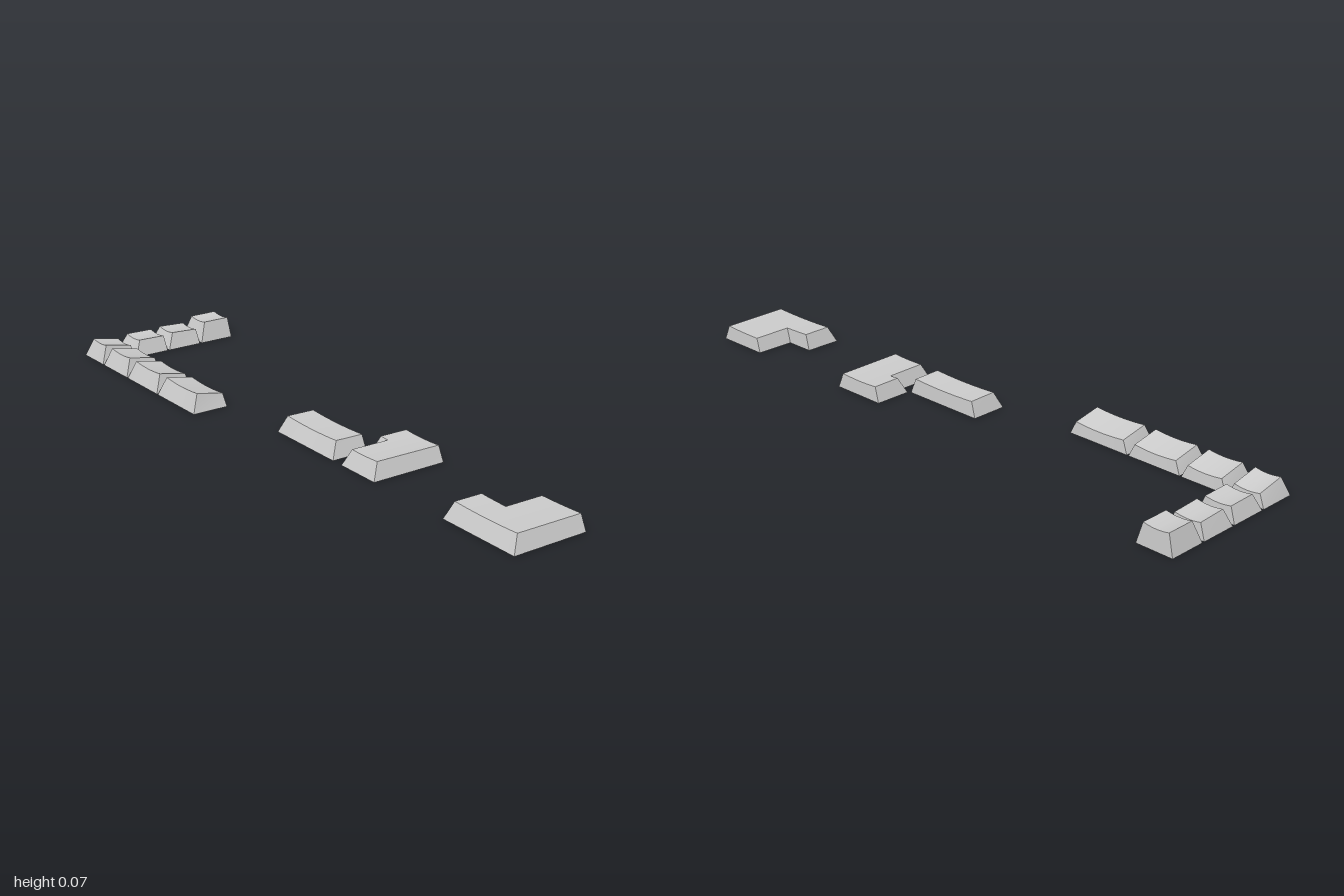
import * as THREE from 'three';
import { toCreasedNormals } from 'three/addons/utils/BufferGeometryUtils.js';

const UNIT = 0.1263, GAP = 0.006, DEPTH = 0.1205, WALL = 0.01;
const SIDE = 0.018, FRONT = 0.024, BACK = 0.004; // slopes of the cap walls
const STAB = 0.079; // spacing of the stabiliser stems

// Corner loop [x, z] moved inwards, long edges split so that they can follow the dish
function insetLoop(corners, side, front, back) {
  const n = corners.length;
  const moved = corners.map(([x, z], i) => {
    for (const [a, b] of [[corners[(i + n - 1) % n], corners[i]], [corners[i], corners[(i + 1) % n]]]) {
      const dx = b[0] - a[0], dz = b[1] - a[1];
      if (Math.abs(dx) > Math.abs(dz)) z += dx > 0 ? -front : back;
      else x += Math.sign(dz) * side;
    }
    return [x, z];
  });
  const loop = [];
  moved.forEach((a, i) => {
    const b = moved[(i + 1) % n];
    const steps = Math.abs(b[0] - a[0]) > 1e-4 ? 10 : 1;
    for (let k = 0; k < steps; k++) {
      const t = k / steps;
      loop.push([a[0] + (b[0] - a[0]) * t, a[1] + (b[1] - a[1]) * t]);
    }
  });
  return loop;
}

// Hollow keycap: tapered walls, dished top, open underside
function capGeometry(corners, hFront, hBack, dish, ceiling) {
  const pos = [];
  const quad = (a, b, c, d) => pos.push(...a, ...b, ...c, ...a, ...c, ...d);
  const top = insetLoop(corners, SIDE, FRONT, BACK);
  const xs = top.map(p => p[0]), zs = top.map(p => p[1]);
  const x0 = Math.min(...xs), x1 = Math.max(...xs), z0 = Math.min(...zs), z1 = Math.max(...zs);
  const topY = (x, z) => {
    const u = (2 * x - x0 - x1) / (x1 - x0);
    return hFront + (hBack - hFront) * (z1 - z) / (z1 - z0) - dish * (1 - u * u);
  };
  const lift = (loop, yAt) => loop.map(([x, z]) => [x, yAt(x, z), z]);
  const roof = insetLoop(corners, SIDE + WALL, FRONT + WALL * 0.6, BACK + WALL);
  const rings = [
    lift(roof, () => ceiling),
    lift(insetLoop(corners, WALL, WALL, WALL), () => 0),
    lift(insetLoop(corners, 0, 0, 0), () => 0),
    lift(top, topY),
  ];
  for (let r = 0; r < 3; r++) {
    const A = rings[r], B = rings[r + 1];
    A.forEach((a, i) => {
      const j = (i + 1) % A.length;
      quad(a, A[j], B[j], B[i]);
    });
  }
  // Fill a loop with strips running front to back
  const fill = (loop, yAt, up) => {
    const cuts = loop.map(p => p[0]).sort((a, b) => a - b).filter((x, i, s) => !i || x - s[i - 1] > 1e-6);
    for (let i = 0; i + 1 < cuts.length; i++) {
      const a = cuts[i], b = cuts[i + 1], m = (a + b) / 2;
      let zf = 0, zb = 0;
      loop.forEach((p, k) => {
        const q = loop[(k + 1) % loop.length];
        if (p[0] < m && q[0] > m) zf = p[1];
        if (p[0] > m && q[0] < m) zb = p[1];
      });
      const c = [[a, zf], [b, zf], [b, zb], [a, zb]].map(([x, z]) => [x, yAt(x, z), z]);
      quad(...(up ? c : c.reverse()));
    }
  };
  fill(top, topY, true);
  fill(roof, () => ceiling, false);
  const geo = new THREE.BufferGeometry();
  geo.setAttribute('position', new THREE.Float32BufferAttribute(pos, 3));
  return toCreasedNormals(geo, 0.4);
}

// Round post with a cross-shaped socket
function stemGeometry(height) {
  const shape = new THREE.Shape().absarc(0, 0, 0.018, 0, Math.PI * 2);
  const L = 0.0133, w = 0.004;
  const cross = [[w, w], [w, L], [-w, L], [-w, w], [-L, w], [-L, -w],
    [-w, -w], [-w, -L], [w, -L], [w, -w], [L, -w], [L, w]];
  shape.holes.push(new THREE.Path(cross.map(p => new THREE.Vector2(...p))));
  const geo = new THREE.ExtrudeGeometry(shape, { depth: height, bevelEnabled: false, curveSegments: 12 });
  return toCreasedNormals(geo.rotateX(-Math.PI / 2), 0.6);
}

export function createModel() {
  const model = new THREE.Group();
  const plastic = new THREE.MeshStandardMaterial({ color: 0xcccccc });
  plastic.name = 'light grey plastic';

  function addKey(name, corners, [hFront, hBack], dish, stems) {
    const key = new THREE.Group();
    key.name = name;
    const ceiling = Math.min(hFront, hBack) - dish - 0.009;
    const cap = new THREE.Mesh(capGeometry(corners, hFront, hBack, dish, ceiling), plastic);
    cap.name = 'cap';
    key.add(cap);
    for (const [x, z] of stems) {
      const stem = new THREE.Mesh(stemGeometry(ceiling - 0.003), plastic);
      stem.name = 'stem';
      stem.position.set(x, 0.004, z);
      key.add(stem);
    }
    model.add(key);
  }
  const rect = (x0, x1, z0, z1) => [[x0, z1], [x1, z1], [x1, z0], [x0, z0]];
  const width = units => units * UNIT - GAP;

  const rowZ = [-0.252, -0.1235, 0.004, 0.1315];
  const rowHeight = [[0.066, 0.066], [0.053, 0.048], [0.051, 0.049], [0.058, 0.04]];
  const home = rowZ[2] + DEPTH / 2;

  // Column of single keys, back to front
  for (let r = 0; r < 3; r++) {
    addKey('singleKey' + (r + 1), rect(-1, -1 + DEPTH, rowZ[r], rowZ[r] + DEPTH), rowHeight[r], 0.005,
      [[-1 + DEPTH / 2, rowZ[r] + DEPTH / 2]]);
  }

  // Front row of widening keys
  let x = -1;
  [1, 1.25, 1.5, 1.75].forEach((u, i) => {
    const w = width(u);
    addKey('frontRowKey' + (i + 1), rect(x, x + w, rowZ[3], rowZ[3] + DEPTH), rowHeight[3], 0.005,
      [[x + w / 2, rowZ[3] + DEPTH / 2]]);
    x += w + GAP;
  });

  // Long key with three stems
  addKey('longKey', rect(-0.045, 0.233, rowZ[2], rowZ[2] + DEPTH), rowHeight[2], 0.004,
    [-STAB, 0, STAB].map(d => [0.094 + d, home]));

  // Tall key that is wider at the back
  const zB = rowZ[1], zF = rowZ[2] + DEPTH;
  addKey('tallSteppedKey',
    [[0.273, zF], [0.425, zF], [0.425, zB], [0.241, zB], [0.241, zB + DEPTH], [0.273, zB + DEPTH]],
    [0.051, 0.048], 0.003, [-STAB, 0, STAB].map(d => [0.349, d]));

  // Large key that is wider at the front
  addKey('largeCornerKey',
    [[0.721, zF], [1, zF], [1, zB], [0.817, zB], [0.817, rowZ[2]], [0.721, rowZ[2]]],
    [0.051, 0.048], 0.003,
    [[0.86 - STAB, home], [0.86, home], [0.86 + STAB, home], [0.88, 0], [0.88, -STAB]]);

  return model;
}
